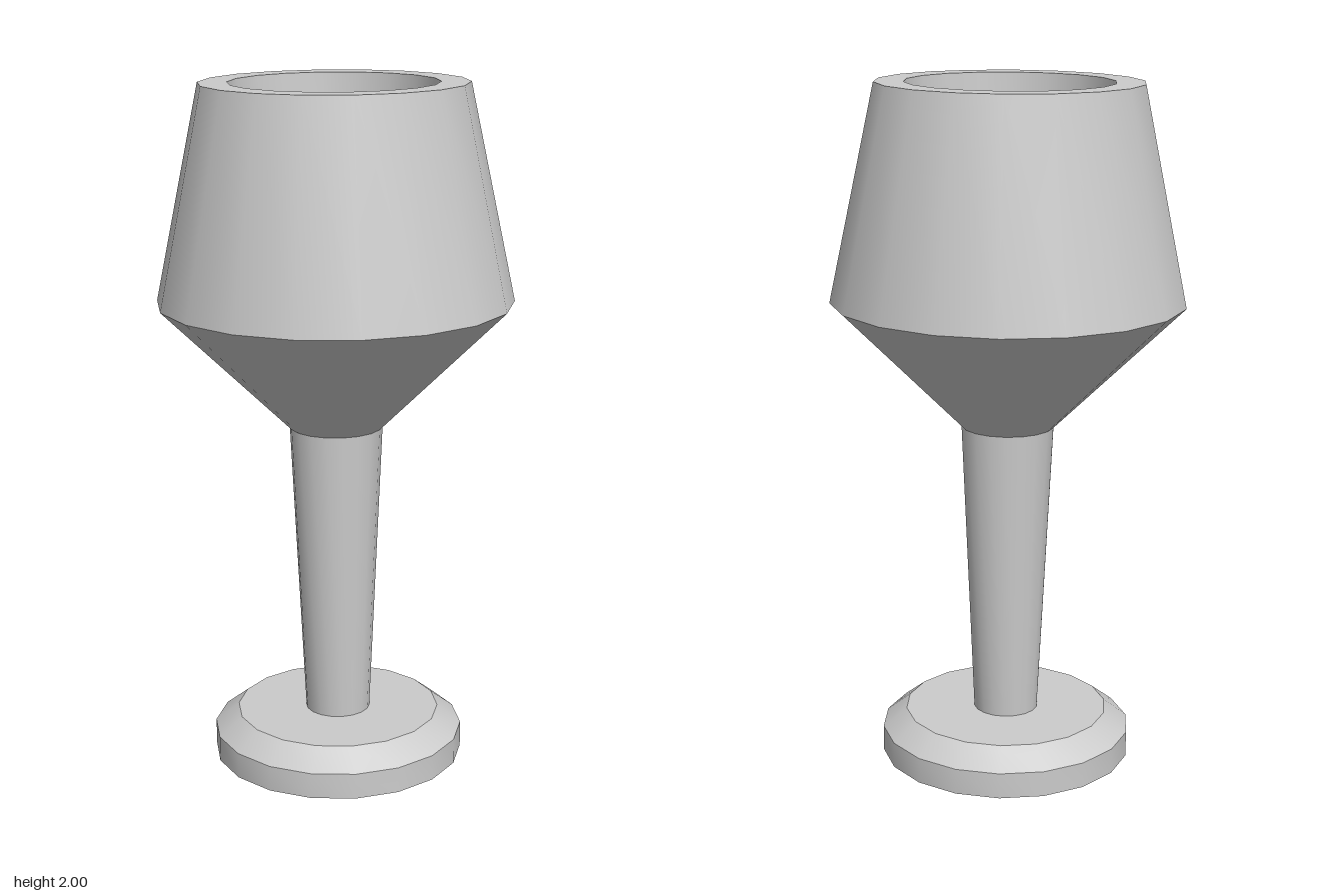
import * as THREE from 'three';
import { toCreasedNormals } from 'three/addons/utils/BufferGeometryUtils.js';

const SIDES = 18;
const material = new THREE.MeshStandardMaterial({ color: 0xcccccc });

// Turned part with crisp profile edges and smooth shading around the axis
function turned(name, profile) {
  const points = profile.map(([r, y]) => new THREE.Vector2(r, y));
  const lathe = new THREE.LatheGeometry(points, SIDES, Math.PI / 2);
  const mesh = new THREE.Mesh(toCreasedNormals(lathe, 0.55), material);
  mesh.name = name;
  return mesh;
}

export function createModel() {
  const goblet = new THREE.Group();
  goblet.name = 'goblet';

  // Disc foot with a bevelled upper edge
  const foot = turned('foot', [[0, 0.004], [0.37, 0.004], [0.37, 0.08], [0.3, 0.135], [0.095, 0.135]]);

  // Stem widening towards the bowl, open where it meets its neighbours
  const stem = turned('stem', [[0.095, 0.135], [0.135, 1.01]]);

  // Bowl: flared underside, tapering wall, thick rim, hollow inside
  const bowl = turned('bowl', [
    [0.135, 1.01], [0.51, 1.38], [0.38, 1.996],
    [0.297, 1.996], [0.252, 1.38], [0, 1.38],
  ]);

  // The whole goblet leans back very slightly about its mid-height
  const lean = new THREE.Group();
  lean.name = 'leaningBody';
  for (const part of [foot, stem, bowl]) {
    part.position.y = -1;
    lean.add(part);
  }
  lean.position.y = 1;
  lean.rotation.x = -0.01;
  goblet.add(lean);
  return goblet;
}
